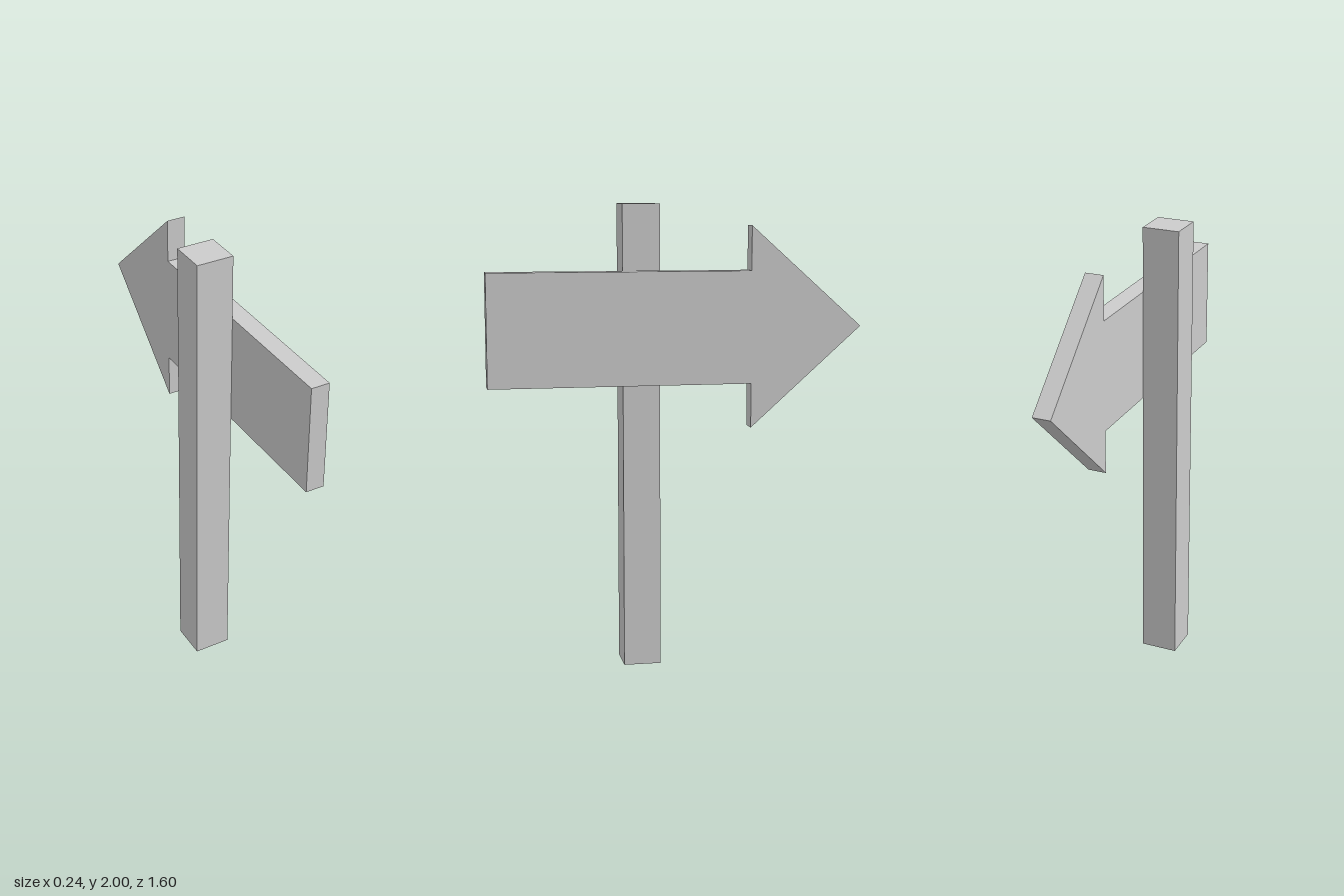
import * as THREE from 'three';

export function createModel() {
  const group = new THREE.Group();
  const material = new THREE.MeshStandardMaterial({ color: 0xcccccc, flatShading: true });

  // Square upright post
  const post = new THREE.Mesh(new THREE.BoxGeometry(0.16, 2, 0.16), material);
  post.name = 'post';
  post.position.set(-0.04, 1, 0.14);
  group.add(post);

  // Arrow outline, drawn pointing along +x about its centre line
  const tip = 0.8, neck = 0.32, halfShaft = 0.24, halfHead = 0.43;
  const outline = new THREE.Shape([
    [-tip, -halfShaft], [neck, -halfShaft], [neck, -halfHead], [tip, 0],
    [neck, halfHead], [neck, halfShaft], [-tip, halfShaft],
  ].map(([x, y]) => new THREE.Vector2(x, y)));

  // Arrow board on the post's left face, turned to point backwards (-z)
  const board = new THREE.ExtrudeGeometry(outline, { depth: 0.08, bevelEnabled: false });
  board.rotateY(Math.PI / 2);
  const arrow = new THREE.Mesh(board, material);
  arrow.name = 'arrowBoard';
  arrow.position.set(0.04, 1.48, 0);
  group.add(arrow);

  return group;
}
